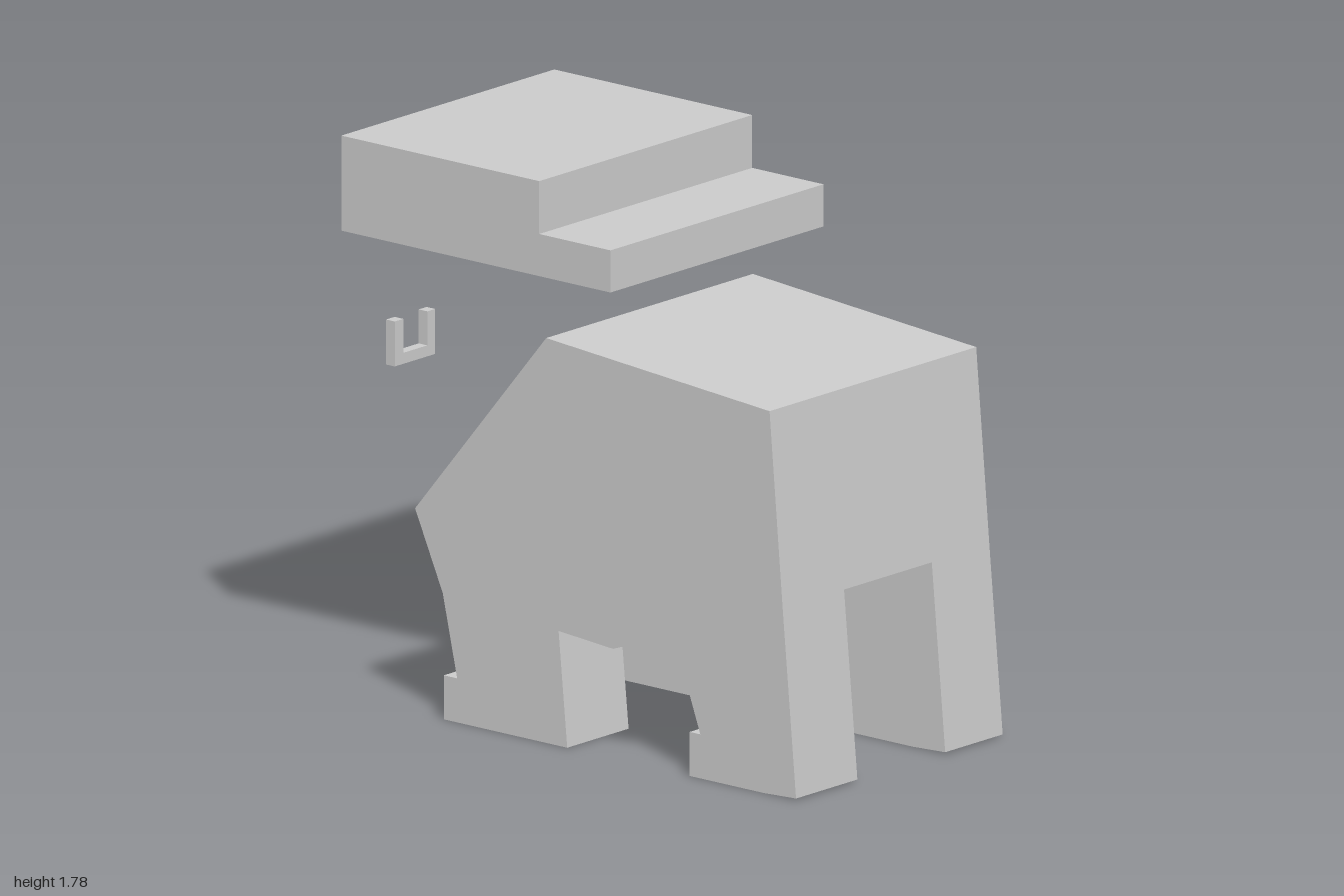
import * as THREE from 'three';

const material = new THREE.MeshStandardMaterial({ color: 0xcccccc, flatShading: true });

// Extrudes a side profile of [z, y] points from x0 to x1
function sideSlab(name, profile, x0, x1) {
  const shape = new THREE.Shape(profile.map(([z, y]) => new THREE.Vector2(-z, y)));
  const geometry = new THREE.ExtrudeGeometry(shape, { depth: x1 - x0, bevelEnabled: false });
  geometry.rotateY(Math.PI / 2).translate(x0, 0, 0);
  const mesh = new THREE.Mesh(geometry, material);
  mesh.name = name;
  return mesh;
}

// Box given by its lower and upper corners
function block(name, [x0, y0, z0], [x1, y1, z1]) {
  const mesh = new THREE.Mesh(new THREE.BoxGeometry(x1 - x0, y1 - y0, z1 - z0), material);
  mesh.position.set((x0 + x1) / 2, (y0 + y1) / 2, (z0 + z1) / 2);
  mesh.name = name;
  return mesh;
}

export function createModel() {
  const model = new THREE.Group();
  model.name = 'blockAnimal';

  // Body: sloping back and rump, angled belly
  const body = [
    [0.893, 1.218], [-0.01, 1.287], [-0.54, 0.65], [-0.428, 0.4],
    [0.04, 0.365], [0.26, 0.348], [0.505, 0.435], [0.946, 0.6],
  ];
  model.add(sideSlab('body', body, -0.488, 0.482));

  // Legs, each with a foot that steps out at the heel
  const frontLeg = [
    [0.946, 0.6], [0.505, 0.435], [0.613, 0.14], [0.57, 0.14],
    [0.57, 0], [0.87, 0], [1, 0.006],
  ];
  const hindLeg = [
    [0.04, 0.365], [-0.428, 0.4], [-0.37, 0.14], [-0.424, 0.14],
    [-0.424, 0], [0.075, 0],
  ];
  for (const [side, x0, x1] of [['Right', -0.488, -0.2], ['Left', 0.212, 0.482]]) {
    model.add(sideSlab(`front${side}Leg`, frontLeg, x0, x1));
    model.add(sideSlab(`hind${side}Leg`, hindLeg, x0, x1));
  }

  // Stepped head block floating above the back
  const head = [
    [0.26, 1.483], [0.26, 1.617], [-0.028, 1.617],
    [-0.028, 1.785], [-0.828, 1.785], [-0.828, 1.483],
  ];
  model.add(sideSlab('head', head, -0.5, 0.5));

  // Small U-shaped tail behind the rump
  const tail = new THREE.Group();
  tail.name = 'tail';
  tail.add(
    block('tailBase', [-0.09, 0.94, -1], [0.1, 0.975, -0.965]),
    block('tailRightPost', [-0.09, 0.975, -1], [-0.05, 1.083, -0.965]),
    block('tailLeftPost', [0.063, 0.975, -1], [0.1, 1.083, -0.965]),
  );
  model.add(tail);

  return model;
}
